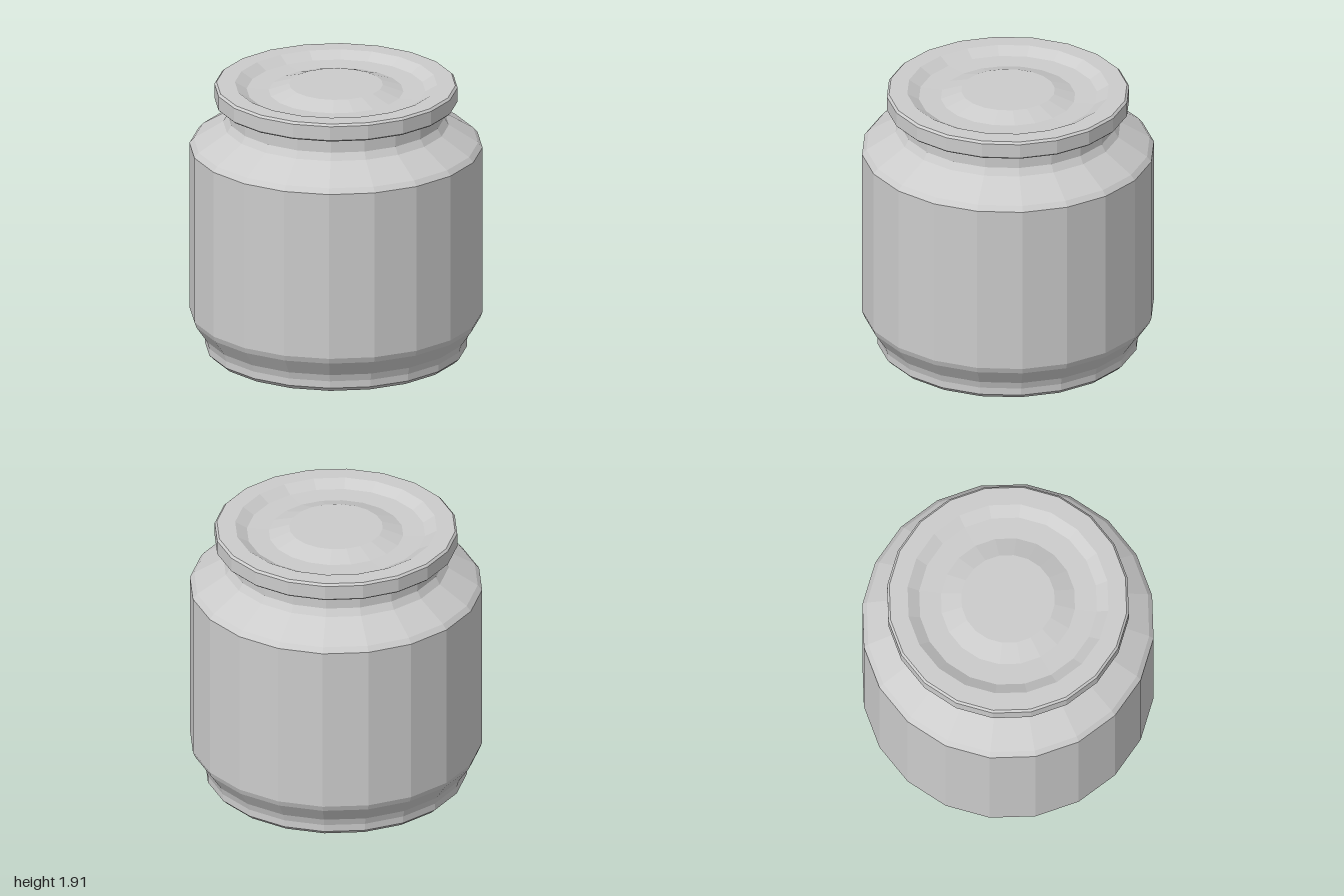
import * as THREE from 'three';

const SIDES = 20;
const grey = new THREE.MeshStandardMaterial({ color: 0xcccccc, flatShading: true });

// Faceted solid of revolution from [radius, height] pairs, listed bottom to top
function turned(name, profile) {
  const points = profile.map(([r, y]) => new THREE.Vector2(r, y));
  const mesh = new THREE.Mesh(new THREE.LatheGeometry(points, SIDES), grey);
  mesh.name = name;
  return mesh;
}

export function createModel() {
  const jar = new THREE.Group();
  jar.name = 'jar';

  // Body: bevelled foot, flared base, straight wall, sloping shoulder and neck
  jar.add(turned('jarBody', [
    [0, 0], [0.865, 0], [0.895, 0.03], [0.895, 0.08], [0.91, 0.13],
    [0.985, 0.24], [1, 0.28], [1, 1.47], [0.97, 1.505],
    [0.77, 1.63], [0.74, 1.68], [0.74, 1.77], [0.73, 1.78],
    [0.715, 1.785], [0.715, 1.81],
  ]));

  // Lid: bevelled rim, sunken ring and raised centre disc
  jar.add(turned('lid', [
    [0, 1.79], [0.82, 1.79], [0.83, 1.80], [0.83, 1.9], [0.815, 1.915],
    [0.69, 1.915], [0.61, 1.87], [0.46, 1.865], [0.32, 1.912], [0, 1.912],
  ]));

  return jar;
}
